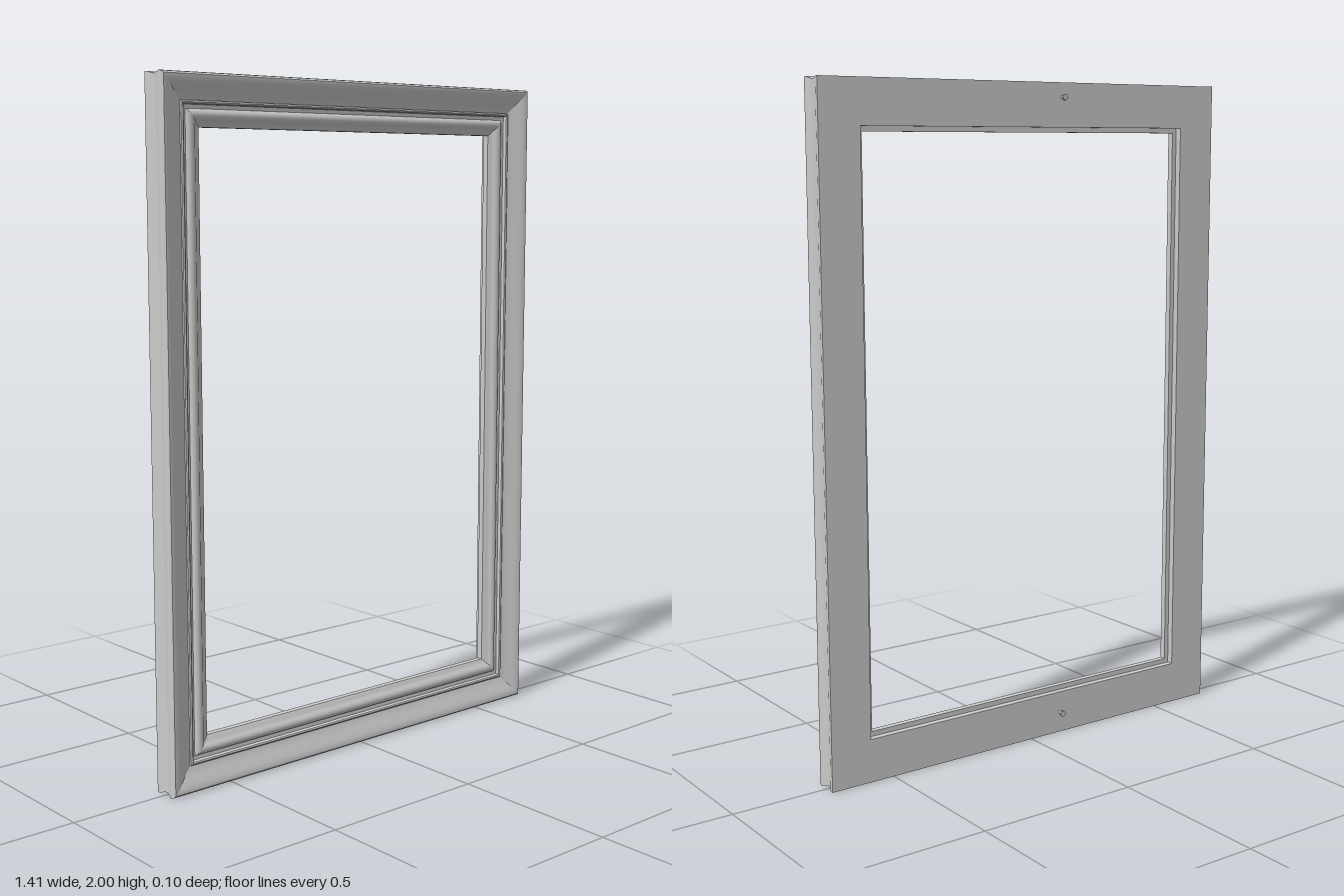
import * as THREE from 'three';
import { toCreasedNormals } from 'three/addons/utils/BufferGeometryUtils.js';

const HALF_W = 0.705, HEIGHT = 2;

// Moulding section: [distance in from the outer edge, z]
const PROFILE = [
  [0, -0.034], [0.001, -0.022], [0.006, -0.008], [0.007, 0.004], [0.004, 0.018], [0, 0.03], // waisted outer side
  [0.002, 0.04], [0.007, 0.045], [0.014, 0.045],                                          // raised rim
  [0.026, 0.041], [0.04, 0.034], [0.054, 0.027], [0.066, 0.022], [0.074, 0.02],           // sloping cove
  [0.075, 0.025], [0.079, 0.027], [0.083, 0.025], [0.085, 0.014], [0.096, 0.013],         // fillet and groove
  [0.1, 0.019], [0.107, 0.023], [0.115, 0.023], [0.123, 0.019], [0.129, 0.012],           // inner bead
  [0.139, 0.009], [0.145, 0.005], [0.145, -0.014],                                        // sight edge
  [0.13, -0.014], [0.13, -0.034],                                                         // rear rebate
];

// One mitred rail from corner a to corner b, counter-clockwise seen from the front
function railGeometry(a, b) {
  const positions = [];
  const inset = ([x, y], [d, z]) => [x - Math.sign(x) * d, y + (y > 0 ? -d : d), z];
  PROFILE.forEach((p, i) => {
    const q = PROFILE[(i + 1) % PROFILE.length];
    const [ap, bp, bq, aq] = [inset(a, p), inset(b, p), inset(b, q), inset(a, q)];
    positions.push(...ap, ...bp, ...bq, ...ap, ...bq, ...aq);
  });
  const geometry = new THREE.BufferGeometry();
  geometry.setAttribute('position', new THREE.Float32BufferAttribute(positions, 3));
  return toCreasedNormals(geometry, THREE.MathUtils.degToRad(42));
}

export function createModel() {
  const group = new THREE.Group();
  group.name = 'pictureFrame';
  const material = new THREE.MeshStandardMaterial({ color: 0xcccccc });

  const add = (geometry, name) => {
    const mesh = new THREE.Mesh(geometry, material);
    mesh.name = name;
    group.add(mesh);
    return mesh;
  };

  // Four mitred rails
  const corners = [[-HALF_W, 0], [HALF_W, 0], [HALF_W, HEIGHT], [-HALF_W, HEIGHT]];
  ['bottomRail', 'leftRail', 'topRail', 'rightRail'].forEach((name, i) =>
    add(railGeometry(corners[i], corners[(i + 1) % 4]), name));

  // Small pins in the back of the top and bottom rails
  for (const [y, name] of [[1.957, 'topPin'], [0.063, 'bottomPin']]) {
    const shank = add(new THREE.CylinderGeometry(0.005, 0.005, 0.016, 10), name + 'Shank');
    shank.rotation.x = Math.PI / 2;
    shank.position.set(-0.11, y, -0.04);
    const head = add(new THREE.CylinderGeometry(0.009, 0.009, 0.005, 12), name + 'Head');
    head.rotation.x = Math.PI / 2;
    head.position.set(-0.11, y, -0.049);
  }
  return group;
}
